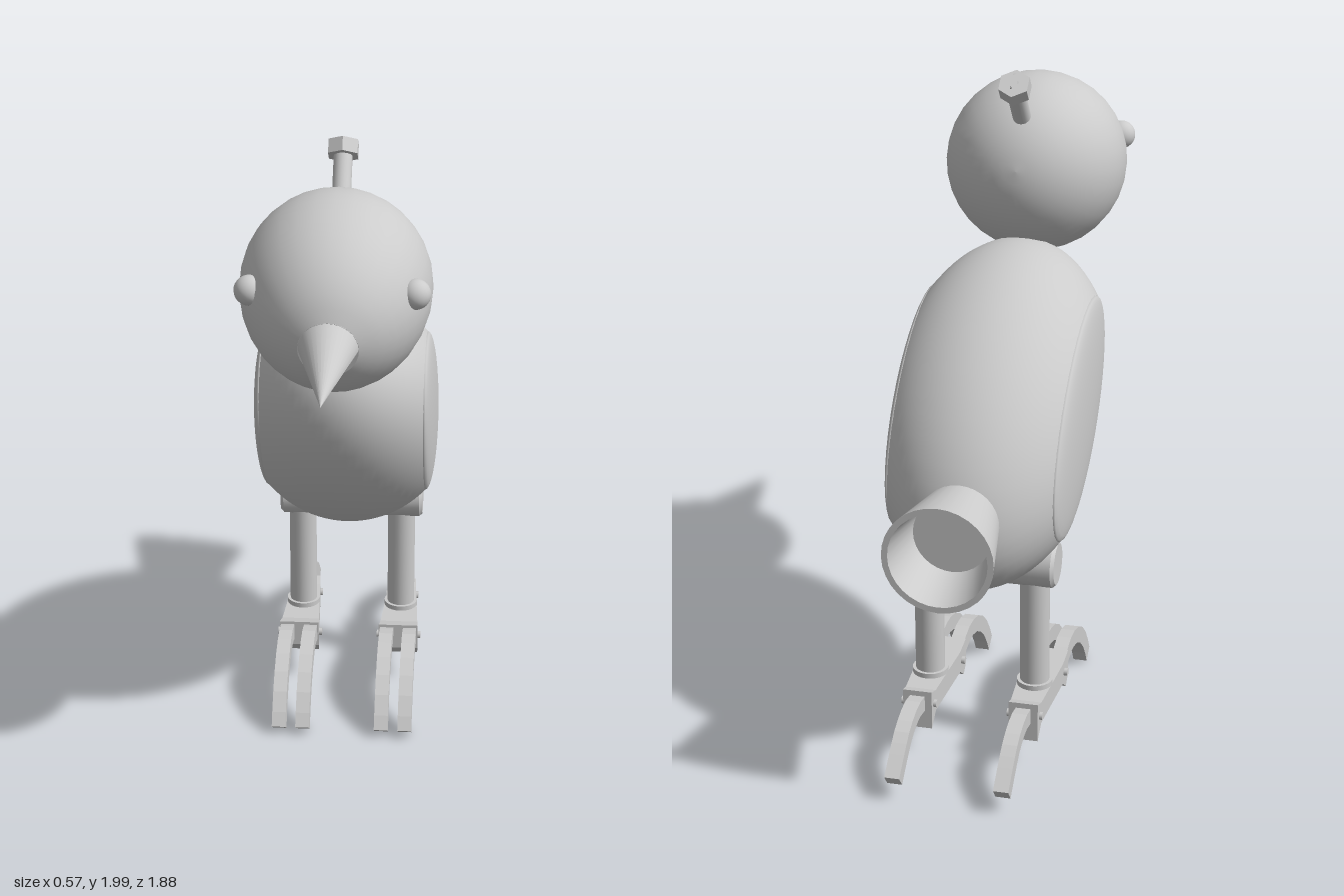
import * as THREE from 'three';
import { toCreasedNormals } from 'three/addons/utils/BufferGeometryUtils.js';

const material = new THREE.MeshStandardMaterial({ color: 0xcccccc });
const openMaterial = new THREE.MeshStandardMaterial({ color: 0xcccccc, side: THREE.DoubleSide });

function add(parent, name, geometry, x = 0, y = 0, z = 0, mat = material) {
  const mesh = new THREE.Mesh(geometry, mat);
  mesh.name = name;
  mesh.position.set(x, y, z);
  parent.add(mesh);
  return mesh;
}

const vectors = (pairs) => pairs.map(([a, b]) => new THREE.Vector2(a, b));

// Side profile given as (z, y) points, extruded across x and centred
function sideExtrude(points, width) {
  const geometry = new THREE.ExtrudeGeometry(new THREE.Shape(points), { depth: width, bevelEnabled: false });
  geometry.translate(0, 0, -width / 2);
  geometry.rotateY(-Math.PI / 2);
  return geometry;
}

// Curved bar of even thickness along a (z, y) centre line
function toe(path, thickness, width) {
  const curve = new THREE.SplineCurve(vectors(path));
  const upper = [], lower = [];
  for (let i = 0; i <= 9; i++) {
    const p = curve.getPoint(i / 9), t = curve.getTangent(i / 9);
    const n = new THREE.Vector2(-t.y, t.x).multiplyScalar(thickness / 2);
    upper.push(p.clone().add(n));
    lower.unshift(p.clone().sub(n));
  }
  return sideExtrude([...upper, ...lower], width);
}

function makeHead() {
  const head = new THREE.Group();
  head.name = 'head';
  head.position.set(0, 1.63, 0.31);
  head.rotation.x = THREE.MathUtils.degToRad(100); // local +y runs forward and slightly down

  // Egg: short ellipse behind, longer one cut off in front
  const profile = [];
  for (let i = 0; i <= 20; i++) {
    const a = -Math.PI / 2 + (i / 20) * (Math.PI / 2 + Math.asin(0.348 / 0.365));
    profile.push([0.28 * Math.cos(a), Math.sin(a) * (a < 0 ? 0.295 : 0.365)]);
  }
  profile[0][0] = 0;
  add(head, 'skull', new THREE.LatheGeometry(vectors(profile), 32));
  add(head, 'beakSeat', new THREE.CylinderGeometry(0.086, 0.086, 0.02, 32), 0, 0.338);

  // Beak split along its length
  add(head, 'upperBeak', new THREE.ConeGeometry(0.086, 0.29, 16, 1, false, Math.PI / 2, Math.PI),
    0, 0.49, 0, openMaterial);
  add(head, 'lowerBeak', new THREE.ConeGeometry(0.075, 0.285, 16, 1, false, -Math.PI / 2, Math.PI),
    0, 0.4875, 0, openMaterial);
  return head;
}

function makeScrew() {
  const screw = new THREE.Group();
  screw.name = 'crestScrew';
  screw.position.set(0, 1.945, 0.013);
  screw.rotation.x = THREE.MathUtils.degToRad(-38.5);
  add(screw, 'screwShaft', new THREE.CylinderGeometry(0.028, 0.028, 0.2, 20), 0, -0.11);

  // Hexagonal head with a cross-shaped slot
  const hexagon = (n) => Array.from({ length: n }, (_, i) => [
    0.05 * Math.sin((i * 2 * Math.PI) / n), 0.05 * Math.cos((i * 2 * Math.PI) / n)]);
  const top = new THREE.Shape(vectors(hexagon(6)));
  const w = 0.008, l = 0.036;
  top.holes.push(new THREE.Path(vectors([
    [w, w], [l, w], [l, -w], [w, -w], [w, -l], [-w, -l],
    [-w, -w], [-l, -w], [-l, w], [-w, w], [-w, l], [w, l]])));
  const slotted = new THREE.ExtrudeGeometry(top, { depth: 0.018, bevelEnabled: false });
  slotted.rotateX(-Math.PI / 2);
  add(screw, 'screwSlot', slotted, 0, 0.004);
  const base = new THREE.CylinderGeometry(0.05, 0.05, 0.026, 6);
  add(screw, 'screwHead', toCreasedNormals(base, 0.5), 0, -0.009);
  return screw;
}

function makeBody() {
  const body = new THREE.Group();
  body.name = 'body';
  body.position.set(0, 1.005, -0.22);
  body.rotation.x = THREE.MathUtils.degToRad(-37);

  // Ellipsoid sliced flat at both sides, where the wings sit
  const cut = Math.acos(0.25 / 0.347);
  const torso = new THREE.SphereGeometry(1, 48, 24, 0, Math.PI * 2, cut, Math.PI - 2 * cut);
  torso.rotateZ(Math.PI / 2);
  torso.scale(0.347, 0.347, 0.587);
  add(body, 'torso', torso);

  // Lens-shaped wings
  for (const side of [1, -1]) {
    const wing = new THREE.SphereGeometry(1, 40, 20);
    wing.rotateZ(Math.PI / 2);
    wing.scale(0.036, 0.241, 0.408);
    add(body, side > 0 ? 'leftWing' : 'rightWing', wing, side * 0.25);
  }
  return body;
}

function makeLeg(side) {
  const leg = new THREE.Group();
  leg.name = side > 0 ? 'leftLeg' : 'rightLeg';
  leg.position.x = side * 0.165;
  add(leg, 'shin', new THREE.CylinderGeometry(0.045, 0.045, 0.42, 24), 0, 0.4, -0.428);
  add(leg, 'ankleCollar', new THREE.CylinderGeometry(0.055, 0.055, 0.022, 24), 0, 0.202, -0.428);

  // Foot plate with knuckles at both ends, narrowing towards the back
  const plate = sideExtrude(vectors([
    [-0.24, 0.215], [-0.3, 0.197], [-0.545, 0.197], [-0.585, 0.21], [-0.585, 0.085],
    [-0.545, 0.127], [-0.3, 0.127], [-0.265, 0.1], [-0.24, 0.13]]), 0.13);
  const p = plate.attributes.position;
  for (let i = 0; i < p.count; i++) p.setX(i, p.getX(i) * (1 + (p.getZ(i) + 0.24) * 0.9));
  plate.computeVertexNormals();
  add(leg, 'footPlate', plate);

  // Toes and the pins that hold them
  for (const x of [-0.038, 0.038]) {
    add(leg, 'frontToe', toe([[-0.29, 0.16], [-0.22, 0.185], [-0.14, 0.195],
      [-0.04, 0.165], [0.05, 0.095], [0.105, 0.015]], 0.052, 0.044), x);
  }
  add(leg, 'backToe', toe([[-0.55, 0.16], [-0.645, 0.178], [-0.735, 0.157],
    [-0.8, 0.115], [-0.865, 0.062]].reverse(), 0.048, 0.046));
  for (const [z, length] of [[-0.28, 0.146], [-0.56, 0.11]]) {
    const pin = new THREE.CylinderGeometry(0.012, 0.012, length, 12);
    pin.rotateZ(Math.PI / 2);
    add(leg, 'toePin', pin, 0, 0.16, z);
  }
  return leg;
}

export function createModel() {
  const bird = new THREE.Group();
  bird.name = 'bird';
  bird.add(makeHead(), makeScrew(), makeBody());

  // Eyes
  for (const side of [1, -1]) {
    add(bird, side > 0 ? 'leftEye' : 'rightEye', new THREE.SphereGeometry(0.044, 20, 14),
      side * 0.235, 1.677, 0.487);
  }

  // Hollow flared tail
  const tail = new THREE.LatheGeometry(vectors([
    [0.113, 0.66], [0.163, 0.945], [0.145, 0.945], [0.115, 0.78], [0, 0.78]]), 32);
  tail.rotateX(-Math.PI / 2);
  add(bird, 'tail', toCreasedNormals(tail, 0.6), 0, 0.847, 0);

  // Hip axle with softened ends
  const hip = new THREE.LatheGeometry(vectors([
    [0, -0.235], [0.063, -0.235], [0.073, -0.225], [0.073, 0.225], [0.063, 0.235], [0, 0.235]]), 28);
  hip.rotateZ(Math.PI / 2);
  add(bird, 'hipAxle', toCreasedNormals(hip, 0.6), 0, 0.61, -0.428);

  bird.add(makeLeg(1), makeLeg(-1));
  return bird;
}
